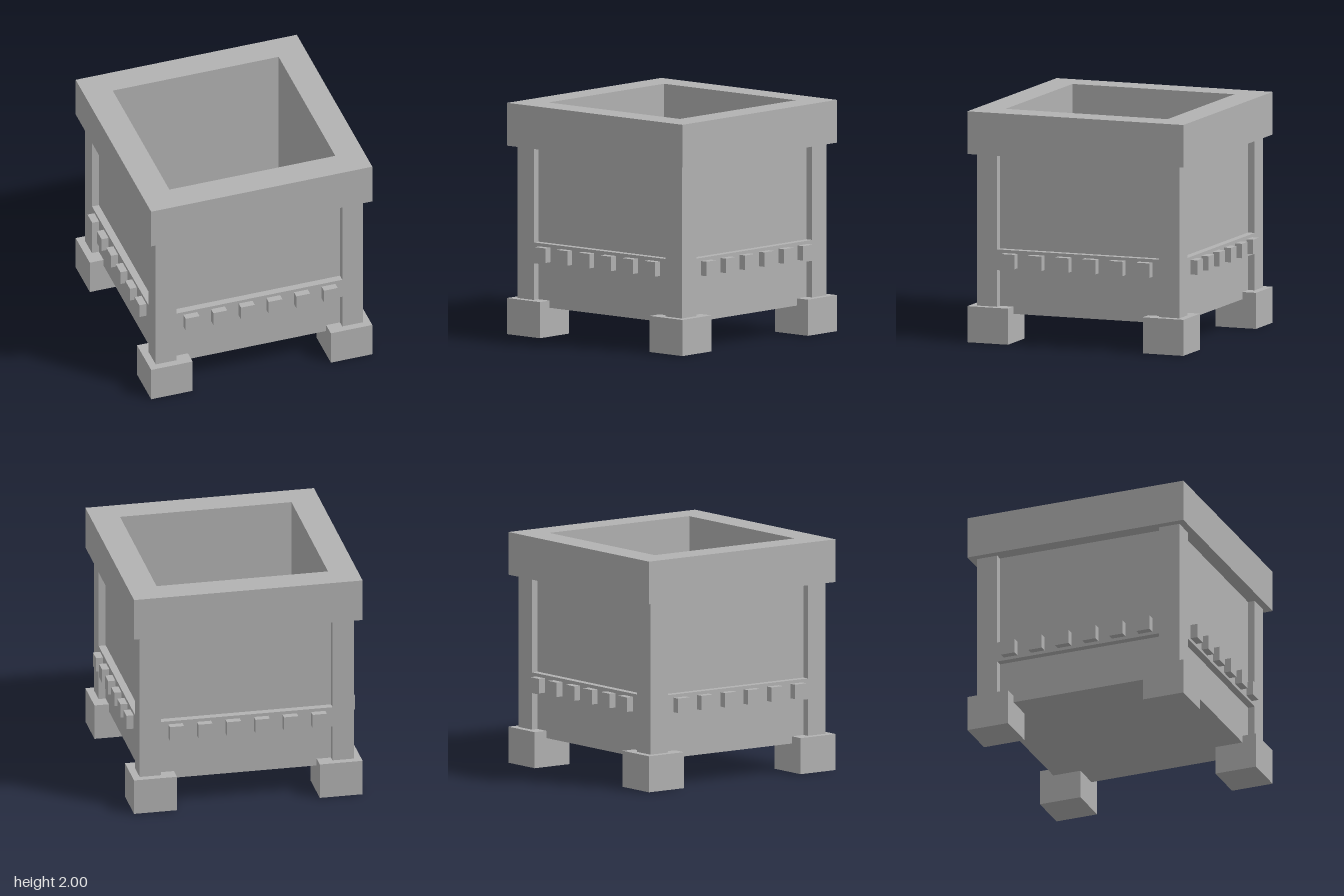
import * as THREE from 'three';

export function createModel() {
  const planter = new THREE.Group();
  planter.name = 'planterBox';
  const stone = new THREE.MeshStandardMaterial({ color: 0xb2b2b2 });
  stone.name = 'grey stone';

  // Box given by its minimum and maximum corners
  const addBox = (parent, name, [x0, y0, z0], [x1, y1, z1]) => {
    const mesh = new THREE.Mesh(new THREE.BoxGeometry(x1 - x0, y1 - y0, z1 - z0), stone);
    mesh.position.set((x0 + x1) / 2, (y0 + y1) / 2, (z0 + z1) / 2);
    mesh.name = name;
    parent.add(mesh);
  };

  const INNER = 0.75, PANEL = 0.875, FRAME = 0.9375;
  const BOTTOM = 0.25, RIM = 1.63;

  // Square rim, open in the middle
  const square = (s) => [[-s, -s], [s, -s], [s, s], [-s, s]].map(([x, y]) => new THREE.Vector2(x, y));
  const outline = new THREE.Shape(square(1));
  outline.holes.push(new THREE.Path(square(INNER).reverse()));
  const rimGeometry = new THREE.ExtrudeGeometry(outline, { depth: 2 - RIM, bevelEnabled: false });
  rimGeometry.rotateX(-Math.PI / 2);
  const rim = new THREE.Mesh(rimGeometry, stone);
  rim.position.y = RIM;
  rim.name = 'rim';
  planter.add(rim);

  // Inside floor
  addBox(planter, 'floor', [-INNER, BOTTOM, -INNER], [INNER, 0.375, INNER]);

  // Four identical sides, each with one corner post and foot
  for (let i = 0; i < 4; i++) {
    const side = new THREE.Group();
    side.name = 'side' + (i + 1);
    side.rotation.y = i * Math.PI / 2;
    addBox(side, 'panel', [-INNER, BOTTOM, INNER], [INNER, RIM, PANEL]);
    addBox(side, 'band', [-INNER, 0.63, PANEL], [INNER, 0.81, FRAME]);
    addBox(side, 'cornerPost', [INNER, BOTTOM, INNER], [FRAME, RIM, FRAME]);
    addBox(side, 'foot', [0.625, 0, 0.625], [1, 0.3125, 1]);
    // Row of square studs along the band
    for (let k = 0; k < 6; k++) {
      const x = -0.625 + k * 0.25;
      addBox(side, 'stud', [x - 0.0625, 0.657, FRAME], [x + 0.0625, 0.782, 1]);
    }
    planter.add(side);
  }
  return planter;
}
